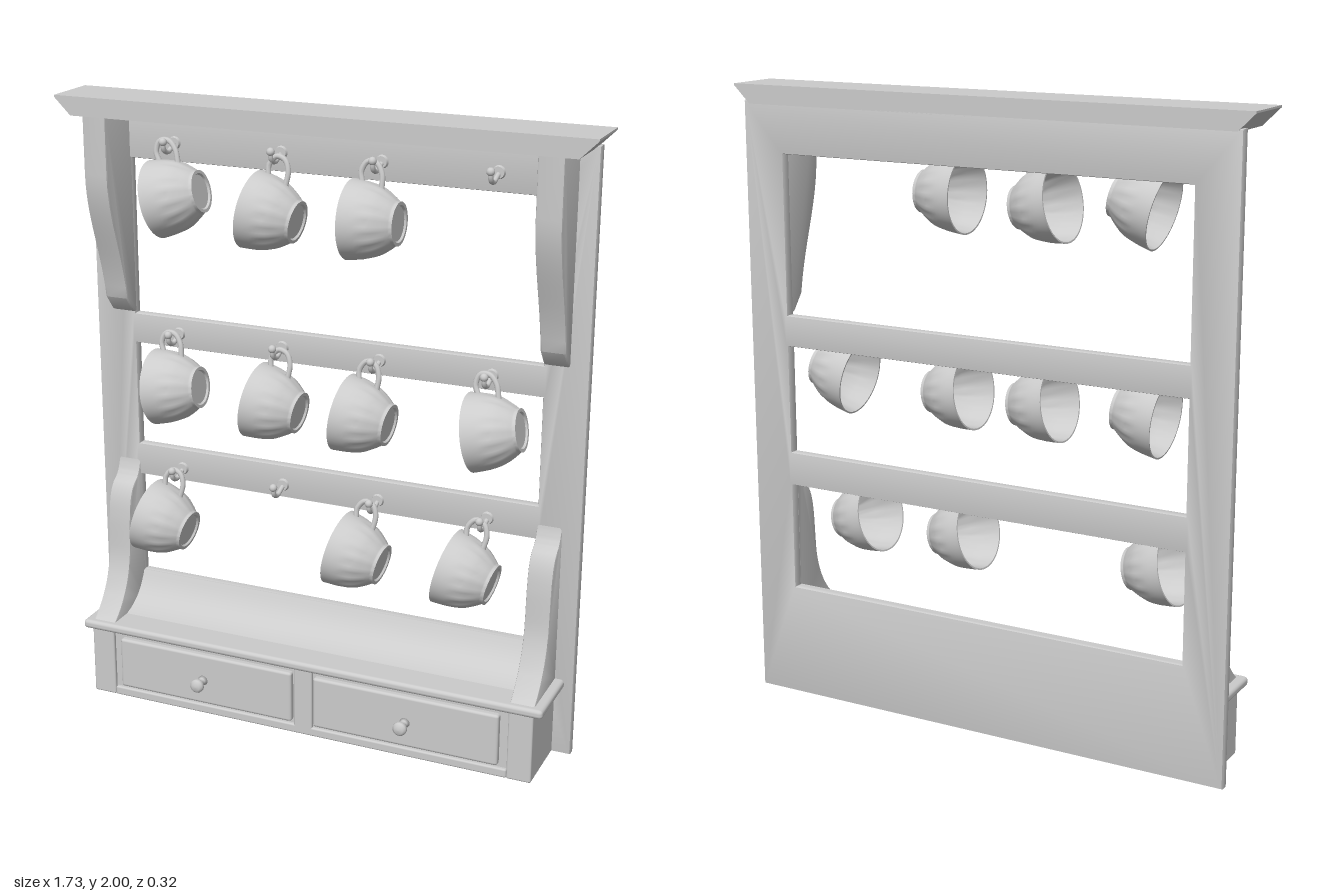
import * as THREE from 'three';
import { RoundedBoxGeometry } from 'three/addons/geometries/RoundedBoxGeometry.js';
import { toCreasedNormals } from 'three/addons/utils/BufferGeometryUtils.js';

const grey = new THREE.MeshStandardMaterial({ color: 0xcccccc });
const greyThin = new THREE.MeshStandardMaterial({ color: 0xcccccc, side: THREE.DoubleSide });
const V2 = (x, y) => new THREE.Vector2(x, y);
const V3 = (x, y, z) => new THREE.Vector3(x, y, z);

function add(parent, name, geometry, material = grey) {
  const mesh = new THREE.Mesh(geometry, material);
  mesh.name = name;
  parent.add(mesh);
  return mesh;
}

// Box with softened edges, given by its limits
function box(parent, name, x0, x1, y0, y1, z0, z1, r = 0.006) {
  const geo = new RoundedBoxGeometry(x1 - x0, y1 - y0, z1 - z0, 2, r);
  geo.translate((x0 + x1) / 2, (y0 + y1) / 2, (z0 + z1) / 2);
  return add(parent, name, geo);
}

function extrude(shape, depth, bevel) {
  const geo = new THREE.ExtrudeGeometry(shape, {
    depth: depth - 2 * bevel, curveSegments: 12, bevelEnabled: bevel > 0,
    bevelSize: bevel, bevelThickness: bevel, bevelOffset: -bevel, bevelSegments: 2,
  });
  geo.translate(0, 0, bevel);
  return toCreasedNormals(geo, 0.6);
}

// Extrudes a (z, y) outline along x, from x0 to x1
function sideExtrude(shape, x0, x1, bevel) {
  return extrude(shape, x1 - x0, bevel).rotateY(-Math.PI / 2).translate(x1, 0, 0);
}

function rectPath(path, x0, x1, y0, y1) {
  return path.moveTo(x0, y0).lineTo(x1, y0).lineTo(x1, y1).lineTo(x0, y1).closePath();
}

// Fluted teacup lying on its side, rim towards -x, handle up
function cupBody() {
  const outer = new THREE.SplineCurve([
    V2(0.066, 0.008), V2(0.082, 0.028), V2(0.102, 0.06), V2(0.114, 0.1), V2(0.122, 0.155),
  ]).getPoints(14);
  const profile = [V2(0.0001, 0.006), V2(0.052, 0.006), V2(0.056, 0), V2(0.066, 0), ...outer,
    V2(0.117, 0.155), V2(0.108, 0.1), V2(0.095, 0.06), V2(0.06, 0.018), V2(0.0001, 0.014)];
  const geo = new THREE.LatheGeometry(profile, 64);
  const p = geo.attributes.position;
  for (let i = 0; i < p.count; i++) {
    const x = p.getX(i), y = p.getY(i), z = p.getZ(i);
    const fade = Math.sin(Math.PI * THREE.MathUtils.clamp((y - 0.008) / 0.1, 0, 1));
    const s = 1 - 0.035 * fade * Math.pow(Math.abs(Math.cos(8 * Math.atan2(z, x))), 3);
    p.setXYZ(i, x * s, y, z * s);
  }
  geo.computeVertexNormals();
  return toCreasedNormals(geo, 0.8).translate(0, -0.155, 0).rotateZ(Math.PI / 2);
}

function cupHandle() {
  const path = new THREE.CatmullRomCurve3([
    V3(0.028, 0.108, 0), V3(0.022, 0.145, 0), V3(0.04, 0.174, 0),
    V3(0.07, 0.17, 0), V3(0.088, 0.14, 0), V3(0.09, 0.095, 0),
  ]);
  return new THREE.TubeGeometry(path, 24, 0.009, 8);
}

export function createModel() {
  const model = new THREE.Group();
  model.name = 'wallRack';

  // Back frame with three openings
  const frame = rectPath(new THREE.Shape(), -0.83, 0.83, 0, 1.95);
  for (const [y0, y1] of [[0.37, 0.72], [0.83, 1.18], [1.28, 1.79]]) {
    frame.holes.push(rectPath(new THREE.Path(), -0.69, 0.69, y0, y1));
  }
  add(model, 'backFrame', extrude(frame, 0.037, 0.007).translate(0, 0, -0.16));

  // Crown with flared ends
  const crown = new THREE.Shape();
  crown.moveTo(-0.81, 1.94).lineTo(0.81, 1.94).quadraticCurveTo(0.835, 1.965, 0.865, 1.994)
    .lineTo(0.865, 2).lineTo(-0.865, 2).lineTo(-0.865, 1.994).quadraticCurveTo(-0.835, 1.965, -0.81, 1.94);
  add(model, 'crown', extrude(crown, 0.19, 0).translate(0, 0, -0.16));

  // Curved side brackets above and below
  const upper = new THREE.Shape();
  upper.moveTo(-0.135, 1.28).lineTo(-0.115, 1.29).lineTo(-0.075, 1.34)
    .bezierCurveTo(-0.05, 1.5, 0.028, 1.62, 0.028, 1.76).lineTo(0.028, 1.95).lineTo(-0.135, 1.95);
  const lower = new THREE.Shape();
  lower.moveTo(-0.135, 0.25).lineTo(0.1, 0.25).bezierCurveTo(0.02, 0.3, -0.02, 0.38, -0.03, 0.46)
    .bezierCurveTo(-0.04, 0.56, -0.03, 0.68, -0.09, 0.71).quadraticCurveTo(-0.115, 0.725, -0.125, 0.78)
    .lineTo(-0.135, 0.78);
  for (const [x0, x1] of [[-0.77, -0.69], [0.69, 0.77]]) {
    add(model, 'upperBracket', sideExtrude(upper, x0, x1, 0.006));
    add(model, 'lowerBracket', sideExtrude(lower, x0, x1, 0.006));
  }

  // Concave back of the shelf
  const cove = new THREE.Shape();
  cove.moveTo(-0.15, 0.25).lineTo(0.06, 0.25).bezierCurveTo(-0.04, 0.262, -0.09, 0.29, -0.125, 0.37)
    .lineTo(-0.15, 0.37);
  add(model, 'cove', sideExtrude(cove, -0.7, 0.7, 0));

  // Shelf and drawer case
  box(model, 'shelf', -0.8, 0.8, 0.23, 0.26, -0.14, 0.107, 0.012);
  box(model, 'drawerCase', -0.77, 0.77, 0, 0.235, -0.15, 0.085);
  box(model, 'drawerDivider', -0.032, 0.032, 0.005, 0.235, 0.07, 0.097);
  box(model, 'plinthRail', -0.69, 0.69, 0, 0.03, 0.07, 0.097);
  const knob = [[0, 0], [0.018, 0], [0.012, 0.012], [0.01, 0.022], [0.017, 0.03],
    [0.023, 0.04], [0.022, 0.05], [0.014, 0.057], [0, 0.058]].map(([r, y]) => V2(r, y));
  const knobGeo = new THREE.LatheGeometry(knob, 20).rotateX(Math.PI / 2);
  for (const s of [-1, 1]) {
    box(model, 'casePost', Math.min(s * 0.69, s * 0.77), Math.max(s * 0.69, s * 0.77), 0, 0.235, 0.07, 0.097);
    box(model, 'drawerFront', s * 0.35 - 0.312, s * 0.35 + 0.312, 0.04, 0.215, 0.06, 0.105, 0.009);
    add(model, 'knob', knobGeo).position.set(s * 0.355, 0.125, 0.103);
  }

  // Hooks on each rail
  const hookPath = new THREE.CatmullRomCurve3([
    V3(0, 0, -0.13), V3(0, -0.012, -0.1), V3(0, -0.02, -0.075), V3(0, -0.008, -0.05), V3(0, 0.014, -0.046),
  ]);
  const hookGeo = new THREE.TubeGeometry(hookPath, 16, 0.008, 8);
  const tipGeo = new THREE.SphereGeometry(0.013, 12, 8).translate(0, 0.016, -0.046);
  const baseGeo = new THREE.CylinderGeometry(0.018, 0.022, 0.012, 14).rotateX(Math.PI / 2).translate(0, 0, -0.12);
  for (const y of [1.85, 1.23, 0.765]) {
    for (const x of [-0.53, -0.165, 0.165, 0.53]) {
      const hook = new THREE.Group();
      hook.name = 'hook';
      add(hook, 'hookStem', hookGeo);
      add(hook, 'hookTip', tipGeo);
      add(hook, 'hookBase', baseGeo);
      hook.position.set(x, y, 0);
      model.add(hook);
    }
  }

  // Hanging cups: rim centre x, y and tilt in degrees
  const body = cupBody(), handle = cupHandle();
  const cups = [
    [-0.545, 1.69, 14], [-0.22, 1.69, -10], [0.105, 1.69, 0],
    [-0.565, 1.075, 6], [-0.215, 1.08, -9], [0.085, 1.08, -8], [0.505, 1.075, 10],
    [-0.61, 0.625, -13], [0.07, 0.625, -13], [0.435, 0.625, -14],
  ];
  for (const [x, y, tilt] of cups) {
    const cup = new THREE.Group();
    cup.name = 'cup';
    add(cup, 'cupBody', body, greyThin);
    add(cup, 'cupHandle', handle);
    cup.position.set(x, y, -0.03);
    cup.rotation.set(-0.17, 0, THREE.MathUtils.degToRad(tilt));
    model.add(cup);
  }
  return model;
}
